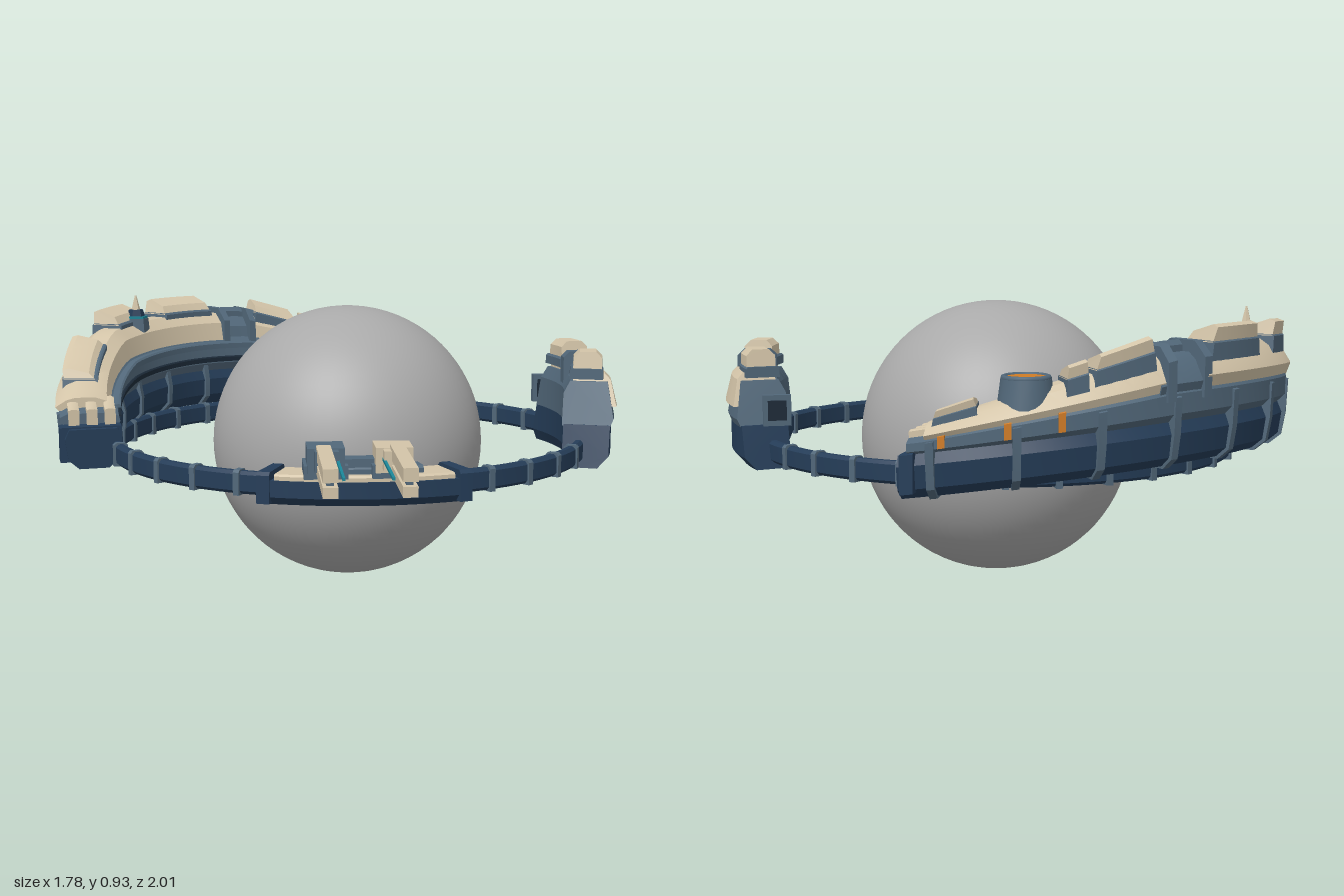
import * as THREE from 'three';
import { toCreasedNormals } from 'three/addons/utils/BufferGeometryUtils.js';

const mat = (name, color) => {
  const m = new THREE.MeshStandardMaterial({ color });
  m.name = name;
  return m;
};
const RAD = Math.PI / 180;

export function createModel() {
  const root = new THREE.Group();
  root.name = 'orbitalStation';
  const cream = mat('cream armour', 0xd3c4a8);
  const slate = mat('slate plating', 0x52687a);
  const navy = mat('navy hull', 0x253d58);
  const grey = mat('planet grey', 0xa9a9a9);
  const orange = mat('orange light', 0xd07c26);
  const teal = mat('teal light', 0x1c8799);
  const dark = mat('dark recess', 0x1c2a38);

  const add = (name, geo, material, parent = root) => {
    const mesh = new THREE.Mesh(geo, material);
    mesh.name = name;
    parent.add(mesh);
    return mesh;
  };

  // Sweeps a counterclockwise [radius, height] profile around the y axis, angles in degrees.
  // taper narrows the arc with height; yMap turns angle and height into y.
  function sweep(profile, a0, a1, { yMap = (a, h) => h, taper = 0, caps = true } = {}) {
    const n = Math.max(2, Math.ceil((a1 - a0) / 3)), mid = (a0 + a1) / 2, m = profile.length;
    const low = Math.min(...profile.map(p => p[1])), high = Math.max(...profile.map(p => p[1]));
    const pos = [], idx = [];
    for (let i = 0; i <= n; i++) {
      for (const [r, h] of profile) {
        const a = mid + (a0 + (a1 - a0) * i / n - mid) * (1 - taper * (h - low) / (high - low));
        pos.push(r * Math.cos(a * RAD), yMap(a, h), r * Math.sin(a * RAD));
      }
    }
    for (let i = 0; i < n; i++) {
      for (let j = 0; j < m; j++) {
        const k = (j + 1) % m, A = i * m + j, B = i * m + k;
        idx.push(A, B, B + m, A, B + m, A + m);
      }
    }
    if (caps) {
      const pts = profile.map(p => new THREE.Vector2(p[0], p[1]));
      for (const [a, b, c] of THREE.ShapeUtils.triangulateShape(pts, [])) {
        idx.push(c, b, a, n * m + a, n * m + b, n * m + c);
      }
    }
    const g = new THREE.BufferGeometry();
    g.setAttribute('position', new THREE.Float32BufferAttribute(pos, 3));
    g.setIndex(idx);
    return toCreasedNormals(g, 0.45);
  }
  // Curved block with a bevelled top
  const block = (r0, r1, h0, h1, b = 0.015) =>
    [[r0, h0], [r1, h0], [r1, h1 - b], [r1 - b, h1], [r0 + b, h1], [r0, h1 - b]];
  const polar = (a, r, y) => [r * Math.cos(a * RAD), y, r * Math.sin(a * RAD)];

  // Planet and thin ring with collars
  add('planet', new THREE.SphereGeometry(0.465, 64, 40).translate(0, 0.465, 0), grey);
  add('ring', sweep([[0.785, 0.44], [0.795, 0.43], [0.81, 0.43], [0.82, 0.44], [0.82, 0.49],
    [0.81, 0.5], [0.795, 0.5], [0.785, 0.49]], 0, 360, { caps: false }), navy);
  for (let i = 0; i < 32; i++) {
    const a = i * 11.25;
    add('ringCollar', sweep(block(0.779, 0.826, 0.426, 0.504, 0.008), a - 0.7, a + 0.7), slate);
  }

  // Large arched hull: its base climbs towards the back and its upper works taper at both ends
  const hull = new THREE.Group();
  hull.name = 'archedHull';
  root.add(hull);
  const rise = a => {
    const u = a < -90 ? Math.min(1, Math.max(0, (a + 150) / 28)) : 1;
    return a < -80 ? 0.33 + 0.67 * u : 0.4 + 0.6 * Math.min(1, Math.max(0, (-30 - a) / 45));
  };
  const yMap = (a, h) => 0.41 + 0.155 * Math.max(0, -Math.sin(a * RAD) * 0.97 - 0.41)
    + (h < 0.13 ? h : 0.13 + (h - 0.13) * rise(a));
  const hullPart = (name, profile, a0, a1, material, taper = 0) =>
    add(name, sweep(profile, a0, a1, { yMap, taper }), material, hull);

  hullPart('hullKeel', [[0.83, 0], [0.93, 0], [0.965, 0.03], [0.975, 0.1], [0.96, 0.135],
    [0.8, 0.135], [0.785, 0.1], [0.79, 0.04]], -154, -26, navy);
  hullPart('hullBelt', [[0.8, 0.13], [0.955, 0.13], [0.985, 0.16], [0.985, 0.22], [0.96, 0.255],
    [0.82, 0.255], [0.79, 0.22], [0.785, 0.16]], -151, -28, slate);
  hullPart('innerGroove', block(0.778, 0.8, 0.165, 0.185, 0.004), -148, -32, dark);
  hullPart('innerRail', block(0.778, 0.81, 0.215, 0.24, 0.006), -146, -34, slate);
  const shell = [[0.81, 0.24], [0.985, 0.23], [0.997, 0.265], [0.96, 0.325], [0.93, 0.345],
    [0.865, 0.345], [0.825, 0.31]];
  hullPart('mainArmour', shell, -148, -82, cream);
  hullPart('armourBridge', shell.map(([r, h]) => [0.9 + (r - 0.9) * 0.92, h - 0.015]), -83, -72, slate);
  hullPart('rearArmour', shell.map(([r, h]) => [0.895 + (r - 0.895) * 0.9, h - 0.005]), -73, -31, cream);
  for (const a of [-82, -74]) {
    hullPart('bridgeBand', block(0.8, 0.995, 0.2, 0.365, 0.045), a - 0.9, a + 0.9, slate);
  }
  hullPart('bridgeBeam', block(0.87, 0.9, 0.3, 0.365), -82, -70, slate);

  // Ribs wrapped round the keel
  for (let i = 0; i < 9; i++) {
    const a = -148 + i * 14.5;
    hullPart('hullRib', [[0.825, -0.008], [0.935, -0.008], [0.975, 0.025], [0.988, 0.1],
      [0.993, 0.21], [0.95, 0.225], [0.8, 0.225], [0.777, 0.1], [0.78, 0.035]], a - 0.7, a + 0.7, slate);
  }
  // Raised deck hatches: slate plinth under a cream bevelled cover
  for (const [a, w, r0, r1] of [[-135.5, 7, 0.855, 0.975], [-113, 6, 0.86, 0.975],
    [-92, 8, 0.855, 0.975], [-66, 6, 0.845, 0.965], [-57, 2, 0.86, 0.97], [-36, 4, 0.85, 0.96]]) {
    hullPart('hatchPlinth', block(r0, r1, 0.29, 0.36, 0.006), a - w, a + w, slate, 0.08);
    hullPart('hatchCover', [[r0 + 0.01, 0.355], [r1 - 0.005, 0.355], [r1, 0.4], [r1 - 0.02, 0.408],
      [r0 + 0.03, 0.385]], a - w * 0.93, a + w * 0.93, cream, 0.15);
  }
  // Low decks at both tips
  for (const [a, s] of [[-152, 1], [-28, -1]]) {
    hullPart('tipFrame', block(0.785, 0.99, 0.02, 0.15, 0.008), a - 1.2, a + 1.2, navy);
    for (const r of [0.82, 0.88, 0.94]) {
      const b = a + s * 3;
      hullPart('tipStrip', block(r - 0.018, r + 0.018, 0.13, 0.31, 0.01), b - 3, b + 3, cream);
    }
  }
  // Lit slots on the outer flank
  for (const a of [-34, -45, -54]) {
    hullPart('flankLight', block(0.98, 0.9905, 0.16, 0.24, 0.003), a - 0.6, a + 0.6, orange);
  }

  // Mast near the back
  const mast = new THREE.Group();
  mast.name = 'mast';
  mast.position.set(...polar(-110, 0.873, 0.8));
  root.add(mast);
  const drum = (name, r0, r1, y0, y1, m, parent, sides = 6) => add(name,
    toCreasedNormals(new THREE.CylinderGeometry(r1, r0, y1 - y0, sides)
      .translate(0, (y0 + y1) / 2, 0), 0.6), m, parent);
  drum('mastBase', 0.05, 0.045, 0, 0.05, slate, mast);
  drum('mastGlow', 0.042, 0.042, 0.05, 0.058, teal, mast);
  drum('mastCollar', 0.032, 0.026, 0.058, 0.082, navy, mast);
  drum('mastTip', 0.016, 0.003, 0.082, 0.133, cream, mast);

  // Round beacon on the right-hand arm
  const beacon = new THREE.Group();
  beacon.name = 'beacon';
  beacon.position.set(...polar(-48.6, 0.895, 0.68));
  root.add(beacon);
  drum('beaconDrum', 0.085, 0.074, 0, 0.085, slate, beacon, 24);
  drum('beaconLens', 0.056, 0.056, 0.085, 0.091, orange, beacon, 24);
  add('beaconRim', new THREE.TorusGeometry(0.065, 0.009, 8, 28).rotateX(Math.PI / 2)
    .translate(0, 0.087, 0), slate, beacon);

  // Free-floating relay box inside the arch
  const relay = add('relayBox', new THREE.BoxGeometry(0.08, 0.09, 0.08), slate);
  relay.position.set(0.48, 0.6, -0.54);
  relay.rotation.y = 0.72;

  // Habitat pod on the front left of the ring
  const pod = new THREE.Group();
  pod.name = 'habitatPod';
  root.add(pod);
  const podPart = (name, profile, a0, a1, m, taper = 0) =>
    add(name, sweep(profile, a0, a1, { taper }), m, pod);
  podPart('podKeel', [[0.77, 0.41], [0.87, 0.41], [0.905, 0.45], [0.905, 0.55], [0.75, 0.55],
    [0.75, 0.45]], 19, 61, navy, 0.12);
  podPart('podBody', [[0.745, 0.545], [0.905, 0.545], [0.915, 0.57], [0.89, 0.69], [0.765, 0.69],
    [0.745, 0.65]], 22, 58.5, slate, 0.18);
  podPart('podArmour', [[0.89, 0.61], [0.922, 0.61], [0.9, 0.695], [0.88, 0.715], [0.775, 0.715],
    [0.775, 0.685], [0.87, 0.685]], 23.5, 56.5, cream, 0.16);
  for (const a of [29, 52]) {
    podPart('podHatchPlinth', block(0.765, 0.875, 0.7, 0.735, 0.006), a - 5, a + 5, slate);
    podPart('podHatchCover', block(0.775, 0.87, 0.73, 0.79, 0.02), a - 4.2, a + 4.2, cream, 0.15);
  }
  podPart('podSpine', block(0.79, 0.85, 0.7, 0.755), 30, 52, slate);
  podPart('podCrossBlock', block(0.75, 0.88, 0.66, 0.77, 0.02), 39, 43, slate);
  // Small screen at the pod's end
  const screen = new THREE.Group();
  screen.name = 'podScreen';
  screen.position.set(0.75, 0.6, 0.265);
  screen.rotation.y = -0.6;
  pod.add(screen);
  add('screenFrame', new THREE.BoxGeometry(0.09, 0.1, 0.025), slate, screen);
  add('screenFace', new THREE.BoxGeometry(0.06, 0.065, 0.031), dark, screen);
  add('screenArm', new THREE.BoxGeometry(0.03, 0.03, 0.06).translate(0, 0, 0.04), slate, screen);

  // Gun platform on the front right of the ring
  const guns = new THREE.Group();
  guns.name = 'gunPlatform';
  root.add(guns);
  const gunPart = (name, profile, a0, a1, m, taper = 0) =>
    add(name, sweep(profile, a0, a1, { taper }), m, guns);
  gunPart('platformKeel', [[0.76, 0.415], [0.85, 0.415], [0.875, 0.44], [0.875, 0.49], [0.735, 0.49],
    [0.735, 0.44]], 109, 151, navy);
  gunPart('platformDeck', block(0.742, 0.868, 0.485, 0.508, 0.006), 112, 148, cream);
  for (const a of [110, 150]) {
    gunPart('platformEnd', block(0.728, 0.882, 0.42, 0.515, 0.01), a - 1.3, a + 1.3, navy);
  }
  gunPart('platformSpine', block(0.77, 0.84, 0.5, 0.53, 0.008), 118, 142, slate);

  // Twin rail guns, local +z points down the barrels
  const battery = new THREE.Group();
  battery.name = 'railGuns';
  battery.position.set(-0.53, 0, 0.605);
  battery.rotation.y = -0.69;
  guns.add(battery);
  const box = (name, w, h, d, x, y, z, m) =>
    add(name, new THREE.BoxGeometry(w, h, d).translate(x, y, z), m, battery);
  for (const [s, m] of [[-1, slate], [1, cream]]) {
    const x = s * 0.1;
    box('turretFoot', 0.13, 0.04, 0.13, x, 0.52, 0, slate);
    box('turretBlock', 0.11, 0.075, 0.12, x, 0.555, 0.01, m);
    box('turretNeck', 0.07, 0.06, 0.05, x, 0.56, 0.09, m);
    box('upperRail', 0.042, 0.038, 0.36, x + s * 0.008, 0.582, 0.24, cream);
    box('lowerRail', 0.042, 0.03, 0.36, x + s * 0.008, 0.535, 0.24, cream);
    box('railCore', 0.02, 0.02, 0.33, x + s * 0.008, 0.556, 0.23, slate);
    box('railGlow', 0.008, 0.009, 0.32, x - s * 0.032, 0.56, 0.2, teal);
  }
  box('turretLink', 0.12, 0.035, 0.06, 0, 0.535, 0, slate);
  return root;
}
